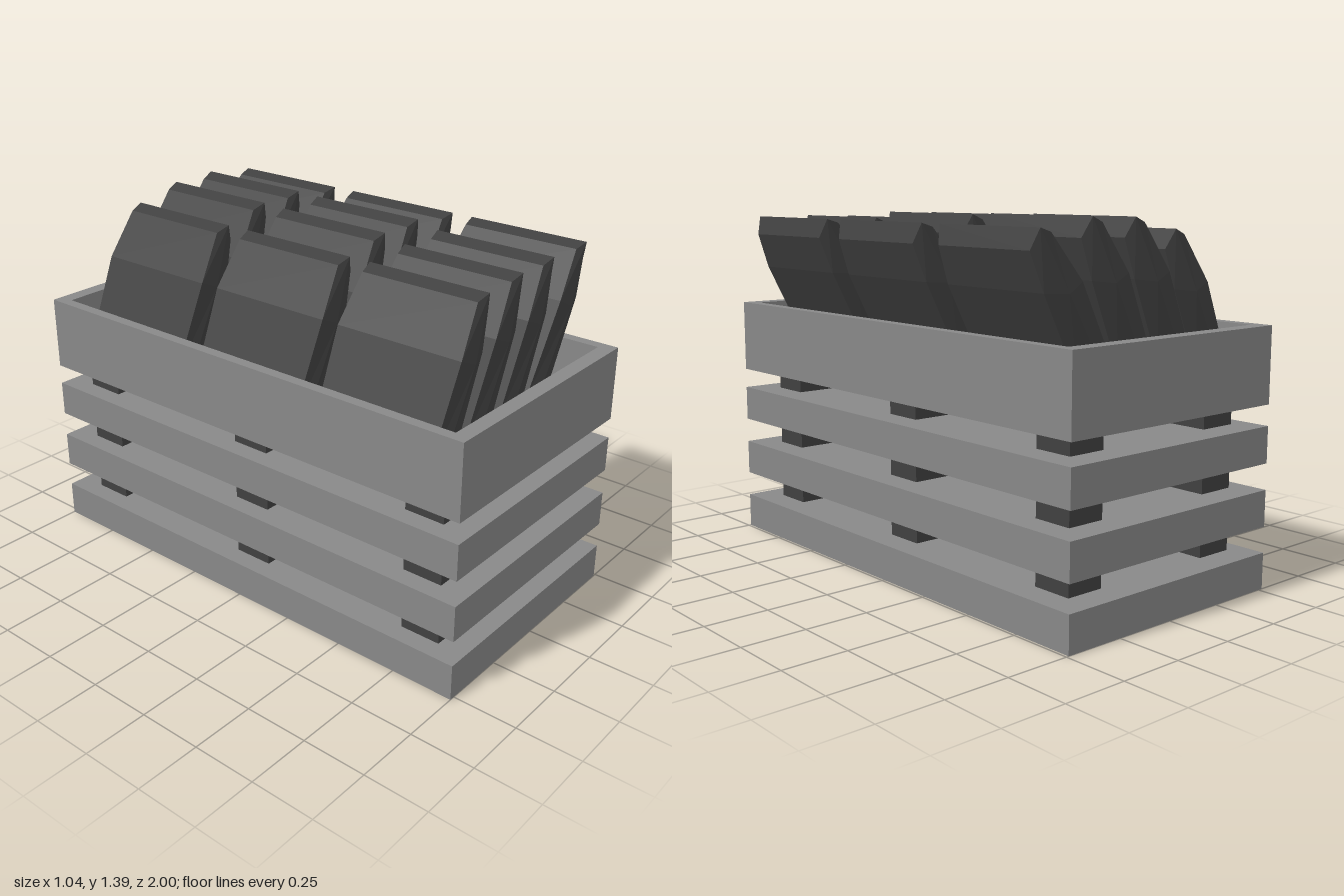
import * as THREE from 'three';

const wood = new THREE.MeshStandardMaterial({ color: 0x888888 });
wood.name = 'crate grey';
const dark = new THREE.MeshStandardMaterial({ color: 0x404040, flatShading: true });
dark.name = 'charcoal';

const CX = -0.015, W = 1.01, D = 2;

function box(name, material, w, h, d, x, y, z) {
  const mesh = new THREE.Mesh(new THREE.BoxGeometry(w, h, d), material);
  mesh.name = name;
  mesh.position.set(x, y, z);
  return mesh;
}

// Leaning bevelled slab: each station has a back, ridge and front point [x, y, half width]
function slabGeometry() {
  const stations = [
    [[-0.455, 0.82, 0.25], [-0.39, 0.82, 0.265], [-0.285, 0.82, 0.24]],
    [[-0.31, 1.15, 0.26], [-0.24, 1.12, 0.27], [-0.155, 1.13, 0.24]],
    [[-0.20, 1.32, 0.24], [-0.145, 1.34, 0.25], [-0.115, 1.27, 0.228]],
  ];
  const pos = [], index = [];
  for (const [l, m, r] of stations) {
    for (const [x, y, w] of [l, m, r]) pos.push(x, y, w);
    for (const [x, y, w] of [r, m, l]) pos.push(x, y, -w);
  }
  const quad = (a, b, c, d) => index.push(a, b, c, a, c, d);
  for (let s = 0; s < 2; s++) {
    for (let i = 0; i < 6; i++) {
      const a = s * 6 + i, b = s * 6 + (i + 1) % 6;
      quad(a, b, b + 6, a + 6);
    }
  }
  // Top and bottom caps, folded along the ridge
  quad(12, 13, 16, 17);
  quad(13, 14, 15, 16);
  quad(5, 4, 1, 0);
  quad(4, 3, 2, 1);
  const g = new THREE.BufferGeometry();
  g.setAttribute('position', new THREE.Float32BufferAttribute(pos, 3));
  g.setIndex(index);
  const flat = g.toNonIndexed();
  flat.computeVertexNormals();
  // Put the pivot near the middle of the slab
  return flat.translate(0.27, -1.06, 0);
}

export function createModel() {
  const model = new THREE.Group();
  model.name = 'crate of slabs';

  // Lower bands and the floor of the top tray
  const bands = [[0, 0.14], [0.24, 0.38], [0.48, 0.62], [0.70, 0.83]];
  bands.forEach(([y0, y1], i) => {
    const name = i === 3 ? 'trayFloor' : 'band';
    model.add(box(name, wood, W, y1 - y0, D, CX, (y0 + y1) / 2, 0));
  });

  // Rim around the tray
  const rim = new THREE.Shape();
  rim.moveTo(-W / 2, -D / 2).lineTo(W / 2, -D / 2).lineTo(W / 2, D / 2).lineTo(-W / 2, D / 2).closePath();
  const iw = W / 2 - 0.043, id = D / 2 - 0.06;
  const hole = new THREE.Path();
  hole.moveTo(-iw, -id).lineTo(-iw, id).lineTo(iw, id).lineTo(iw, -id).closePath();
  rim.holes.push(hole);
  const rimGeometry = new THREE.ExtrudeGeometry(rim, { depth: 0.16, bevelEnabled: false });
  rimGeometry.rotateX(-Math.PI / 2);
  const rimMesh = new THREE.Mesh(rimGeometry, wood);
  rimMesh.name = 'trayRim';
  rimMesh.position.set(CX, 0.83, 0);
  model.add(rimMesh);

  // Posts standing in the gaps between the bands
  for (let g = 0; g < 3; g++) {
    const y0 = bands[g][1], y1 = bands[g + 1][0];
    for (const x of [-0.367, 0.308]) {
      for (const z of [-0.81, 0.01, 0.81]) {
        model.add(box('post', dark, 0.155, y1 - y0, 0.16, x, (y0 + y1) / 2, z));
      }
    }
  }

  // Three rows of four leaning slabs; the middle columns step down towards the front
  const slab = slabGeometry();
  const rows = [[0.58, -0.03], [-0.01, -0.005], [-0.61, 0]];
  const columns = [[0, 0, 0], [0.205, 0.045, 0], [0.41, 0.05, 0], [0.62, 0.03, -0.08]];
  for (const [z, drop] of rows) {
    columns.forEach(([dx, dy, lean], c) => {
      const mesh = new THREE.Mesh(slab, dark);
      mesh.name = 'slab';
      const inner = c === 1 || c === 2;
      mesh.position.set(-0.27 + dx, 1.06 + dy + (inner ? drop : 0), z);
      mesh.rotation.z = lean;
      model.add(mesh);
    });
  }
  return model;
}
